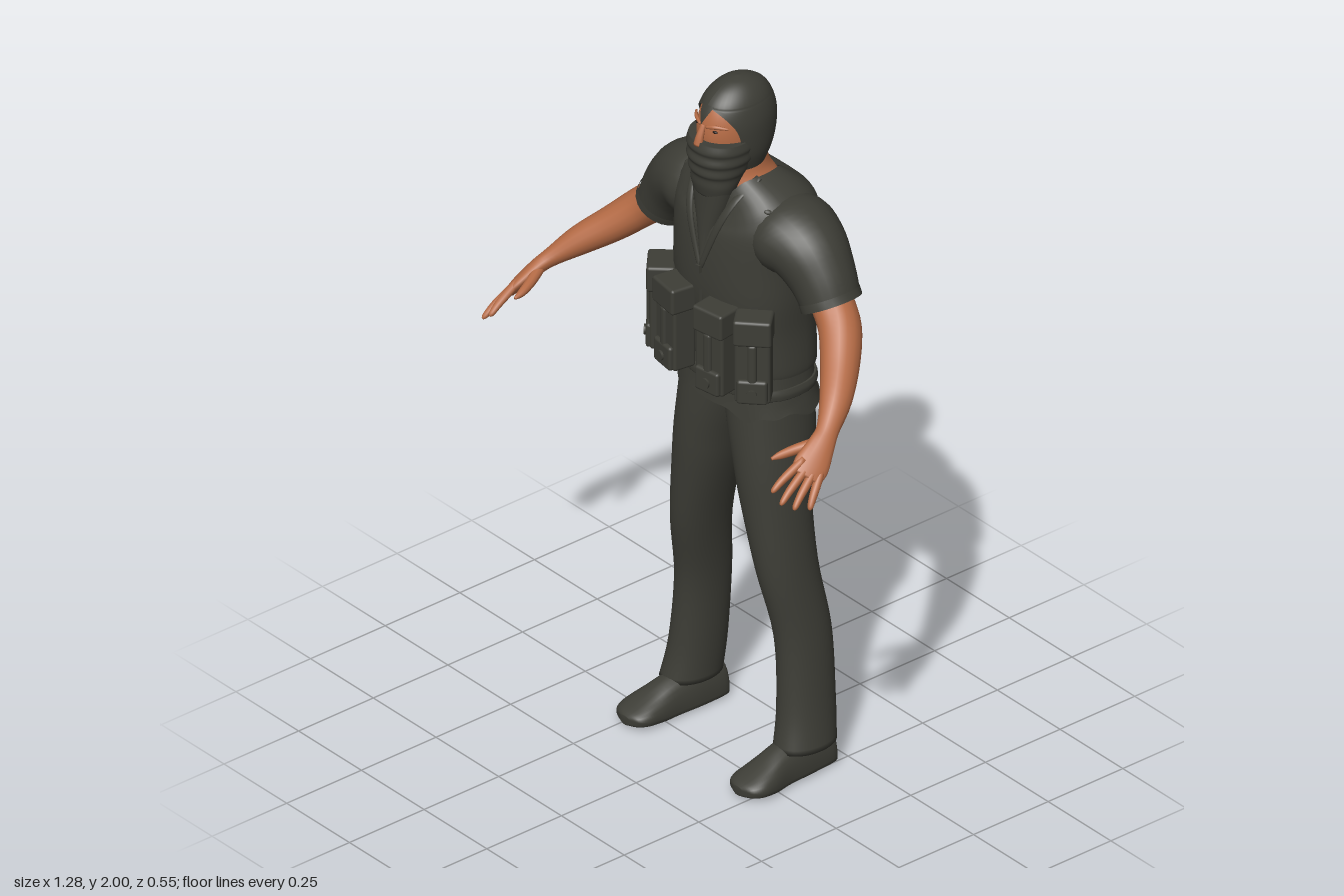
import * as THREE from 'three';
import { mergeVertices } from 'three/addons/utils/BufferGeometryUtils.js';
import { RoundedBoxGeometry } from 'three/addons/geometries/RoundedBoxGeometry.js';

const V = (x, y, z) => new THREE.Vector3(x, y, z);
const TAU = Math.PI * 2;
const pow = (c, e) => Math.sign(c) * Math.abs(c) ** e;

// Catmull-Rom interpolation of equally long rows of numbers, k steps per span
function smooth(rows, k = 5) {
  const out = [], n = rows.length;
  const at = i => rows[Math.min(n - 1, Math.max(0, i))];
  for (let i = 0; i < n - 1; i++) {
    for (let j = 0; j < k; j++) {
      const t = j / k, t2 = t * t, t3 = t2 * t;
      out.push(rows[i].map((b, c) => {
        const a = at(i - 1)[c], d = at(i + 1)[c], e = at(i + 2)[c];
        return 0.5 * (2 * b + (d - a) * t + (2 * a - 5 * b + 4 * d - e) * t2 + (3 * b - a - 3 * d + e) * t3);
      }));
    }
  }
  out.push(rows[n - 1].slice());
  return out;
}

// Skin over a grid of points; closed wraps each ring, caps fill the ends
function skinOver(rings, closed = true, caps = true) {
  const n = rings[0].length, pts = rings.flat(), idx = [];
  const span = closed ? n : n - 1;
  for (let i = 0; i < rings.length - 1; i++) {
    for (let j = 0; j < span; j++) {
      const a = i * n + j, b = i * n + (j + 1) % n;
      idx.push(a, b, a + n, b, b + n, a + n);
    }
  }
  if (closed && caps) {
    const last = (rings.length - 1) * n;
    [[0, true], [last, false]].forEach(([start, flip]) => {
      const c = pts.length;
      pts.push(pts.slice(start, start + n).reduce((s, p) => s.add(p), V(0, 0, 0)).divideScalar(n));
      for (let j = 0; j < n; j++) {
        const a = start + j, b = start + (j + 1) % n;
        idx.push(...(flip ? [b, a, c] : [a, b, c]));
      }
    });
  }
  // turn the faces outward if the enclosed volume is negative
  const mid = pts.reduce((s, p) => s.add(p), V(0, 0, 0)).divideScalar(pts.length);
  let vol = 0;
  for (let i = 0; i < idx.length; i += 3) {
    const [a, b, c] = [0, 1, 2].map(k => pts[idx[i + k]].clone().sub(mid));
    vol += a.dot(b.cross(c));
  }
  if (vol < 0) idx.reverse();
  const g = new THREE.BufferGeometry().setFromPoints(pts);
  g.setIndex(idx);
  g.computeVertexNormals();
  return g;
}

// Upright body from rows [y, xMin, xMax, zFront, zBack, frontDip, backDip]
function body(rows, e = 0.85, wave = () => 0, caps = true, n = 40) {
  return skinOver(smooth(rows).map(([y, x0, x1, zf, zb, df = 0, db = 0], i) =>
    Array.from({ length: n }, (_, j) => {
      const t = j / n * TAU, c = Math.cos(t), s = Math.sin(t);
      const dip = (s > 0 ? df : db) * s ** 4;
      return V((x0 + x1) / 2 + (x1 - x0) / 2 * pow(c, e), y - dip + wave(t, i),
        (zf + zb) / 2 + (zf - zb) / 2 * pow(s, e));
    })), true, caps);
}

// Limb from rows [x, y, z, radius along wide, radius across]
function limb(rows, wide, k = 5, n = 16, caps = true) {
  const r = smooth(rows, k);
  const p = r.map(q => V(q[0], q[1], q[2]));
  return skinOver(r.map((q, i) => {
    const T = p[Math.min(i + 1, p.length - 1)].clone().sub(p[Math.max(i - 1, 0)]).normalize();
    const u = wide.clone().addScaledVector(T, -wide.dot(T)).normalize();
    const v = T.clone().cross(u);
    return Array.from({ length: n }, (_, j) => {
      const t = j / n * TAU;
      return p[i].clone().addScaledVector(u, q[3] * Math.cos(t)).addScaledVector(v, q[4] * Math.sin(t));
    });
  }), true, caps);
}

// Piece of a head-like surface, rows [y, rx, zFront, zBack], between two angles from the front
function patch(rows, from, to, grow = 0, k = 10, n = 40) {
  return skinOver(smooth(rows, k).map(([y, rx, zf, zb]) =>
    Array.from({ length: n + 1 }, (_, j) => {
      const t = from(y) + (to(y) - from(y)) * j / n;
      return V((rx + grow) * Math.sin(t), y, (zf + zb) / 2 + ((zf - zb) / 2 + grow) * Math.cos(t));
    })), false);
}

function mirrored(g) {
  const m = g.clone().scale(-1, 1, 1);
  m.index.array.reverse();
  return m;
}

export function createModel() {
  const model = new THREE.Group();
  const material = (name, color) => {
    const m = new THREE.MeshStandardMaterial({ color, side: THREE.DoubleSide });
    m.name = name;
    return m;
  };
  const cloth = material('dark cloth', 0x3d3d36);
  const skin = material('skin', 0xb56b45);
  const eyeDark = material('dark eye', 0x2a1c16);
  const add = (name, g, m = cloth) => {
    const mesh = new THREE.Mesh(g, m);
    mesh.name = name;
    model.add(mesh);
  };
  const pair = (name, g, m = cloth) => {
    add(name + 'Left', g, m);
    add(name + 'Right', mirrored(g), m);
  };
  const ball = (r, sx, sy, sz, x, y, z) => new THREE.SphereGeometry(r, 16, 12).scale(sx, sy, sz).translate(x, y, z);

  // Head, hood with face opening, and widow's peak
  const head = [[1.755, 0.07, -0.01, -0.165], [1.8, 0.083, 0.02, -0.187], [1.85, 0.087, 0.034, -0.2], [1.9, 0.085, 0.03, -0.2],
    [1.945, 0.073, 0.012, -0.186], [1.975, 0.054, -0.018, -0.163], [1.993, 0.03, -0.053, -0.128], [2, 0.001, -0.09, -0.092]];
  const skull = head.map(([y, ...r]) => [1.755 + (y - 1.755) * 0.975, ...r]);
  const opening = y => 1.15 * Math.sqrt(Math.max(0, 1 - (Math.max(0, y - 1.845) / 0.1) ** 2));
  add('head', patch(skull, () => 0, () => TAU, -0.006), skin);
  add('hood', patch(head, opening, y => TAU - opening(y)));
  const peakRows = [[1.9, 0.085, 0.031, -0.2], [1.925, 0.08, 0.024, -0.195], [1.95, 0.071, 0.01, -0.184]];
  add('hoodPeak', patch(peakRows, y => -(y - 1.899) * 6, y => (y - 1.899) * 6, 0.001, 4, 8));

  // Face
  pair('eye', ball(0.01, 1, 0.45, 0.5, 0.033, 1.884, 0.014), eyeDark);
  pair('brow', limb([[0.012, 1.893, 0.025, 0.005, 0.004], [0.038, 1.9, 0.016, 0.006, 0.005],
    [0.064, 1.897, -0.006, 0.003, 0.003]], V(0, 1, 0), 4, 8), skin);
  add('nose', limb([[0, 1.895, 0.024, 0.008, 0.006], [0, 1.865, 0.036, 0.011, 0.01],
    [0, 1.84, 0.042, 0.014, 0.012]], V(1, 0, 0), 4, 10), skin);

  // Folded face mask and the scarf tail tucked into the collar
  add('mask', body([[1.852, -0.084, 0.084, 0.046, -0.11], [1.83, -0.089, 0.089, 0.053, -0.12], [1.815, -0.086, 0.086, 0.049, -0.12],
    [1.795, -0.087, 0.087, 0.054, -0.12], [1.78, -0.081, 0.081, 0.048, -0.11], [1.76, -0.079, 0.079, 0.05, -0.1],
    [1.745, -0.073, 0.073, 0.043, -0.09], [1.72, -0.069, 0.069, 0.042, -0.07], [1.69, -0.06, 0.06, 0.035, -0.06]], 0.95));
  add('scarfTail', body([[1.73, -0.068, 0.068, 0.036, -0.06], [1.66, -0.055, 0.055, 0.034, -0.05],
    [1.58, -0.032, 0.032, 0.034, -0.03], [1.48, -0.006, 0.006, 0.036, 0]], 0.9));

  // Neck flaring into the shoulders
  add('neck', body([[1.8, -0.062, 0.062, -0.03, -0.165], [1.74, -0.068, 0.068, -0.03, -0.178],
    [1.7, -0.09, 0.09, -0.03, -0.2], [1.65, -0.125, 0.125, -0.04, -0.225]], 1), skin);

  // Vest with a collar that dips front and back
  add('vest', body([[1.175, -0.2, 0.2, 0.005, -0.263, 0, 0], [1.2, -0.202, 0.202, 0.01, -0.265, 0, 0],
    [1.3, -0.2, 0.2, 0.022, -0.265, 0, 0], [1.4, -0.206, 0.206, 0.034, -0.268, 0, 0],
    [1.5, -0.207, 0.207, 0.034, -0.274, 0, 0], [1.6, -0.212, 0.212, 0.026, -0.276, 0.02, 0],
    [1.66, -0.195, 0.195, 0.014, -0.265, 0.05, 0.01], [1.7, -0.155, 0.155, 0.006, -0.24, 0.07, 0.025],
    [1.738, -0.092, 0.092, 0.005, -0.2, 0.1, 0.045]], 0.85, () => 0, false));
  pair('lapel', limb([[0.092, 1.735, -0.085, 0.012, 0.005], [0.082, 1.69, -0.015, 0.012, 0.005], [0.055, 1.61, 0.024, 0.012, 0.005],
    [0.003, 1.475, 0.036, 0.008, 0.005]], V(1, 0, 0), 5, 10));
  add('zip', new THREE.BoxGeometry(0.01, 0.26, 0.008).translate(0, 1.34, 0.03));
  add('zipPull', new THREE.BoxGeometry(0.014, 0.022, 0.01).translate(0, 1.468, 0.04));
  pair('shoulderTab', ball(0.02, 1, 0.5, 0.7, 0.15, 1.673, -0.06));

  // Shirt below the vest, with a wavy hem
  const hemWave = (t, i) => (0.009 * Math.sin(5 * t) + 0.006 * Math.sin(11 * t)) * Math.max(0, 1 - i / 4);
  add('shirtHem', body([[1.06, -0.21, 0.21, 0.012, -0.267], [1.1, -0.203, 0.203, 0.008, -0.255], [1.15, -0.198, 0.198, 0.004, -0.25],
    [1.21, -0.195, 0.195, 0, -0.25]], 0.8, hemWave, false, 64));
  add('waistband', body([[1.115, -0.204, 0.204, 0.01, -0.258], [1.13, -0.206, 0.206, 0.011, -0.26],
    [1.145, -0.202, 0.202, 0.008, -0.256]], 0.8));

  // Short sleeves with a cuff
  const Z = V(0, 0, 1);
  pair('sleeve', limb([[0.09, 1.595, -0.13, 0.1, 0.085], [0.17, 1.59, -0.13, 0.122, 0.105], [0.235, 1.57, -0.13, 0.108, 0.1],
    [0.29, 1.515, -0.13, 0.09, 0.088], [0.328, 1.455, -0.128, 0.08, 0.077]], Z, 5, 24, false));
  pair('cuff', limb([[0.319, 1.472, -0.128, 0.084, 0.08], [0.33, 1.452, -0.128, 0.084, 0.08]], Z, 2, 24, false));

  // Bare arms and hands
  const W = V(0.6, -0.45, -0.6);
  pair('arm', limb([[0.33, 1.465, -0.125, 0.058, 0.055], [0.39, 1.415, -0.105, 0.057, 0.053], [0.45, 1.355, -0.055, 0.052, 0.048],
    [0.51, 1.3, 0.01, 0.043, 0.039], [0.55, 1.255, 0.07, 0.031, 0.025], [0.567, 1.23, 0.105, 0.036, 0.021],
    [0.582, 1.195, 0.15, 0.047, 0.018], [0.59, 1.172, 0.18, 0.042, 0.013]], W), skin);
  pair('thumb', limb([[0.556, 1.235, 0.105, 0.014, 0.016], [0.532, 1.222, 0.155, 0.014, 0.014],
    [0.517, 1.213, 0.198, 0.011, 0.011], [0.511, 1.209, 0.226, 0.004, 0.004]], W, 4, 10), skin);
  const fingers = [[0.567, 1.193, 0.195, 0.562, 1.148, 0.268], [0.584, 1.178, 0.187, 0.594, 1.124, 0.265],
    [0.6, 1.165, 0.175, 0.617, 1.11, 0.24], [0.611, 1.158, 0.155, 0.634, 1.103, 0.202]];
  fingers.forEach(([x, y, z, X, Y, Q], i) => {
    const along = (f, r, lift) => [x + (X - x) * f, y + (Y - y) * f + lift, z + (Q - z) * f, r, r];
    pair('finger' + (i + 1), limb([along(-0.4, 0.012, 0), along(0.2, 0.012, 0.003), along(0.6, 0.0105, 0.004),
      along(0.9, 0.008, 0.001), along(1, 0.003, 0)], W, 3, 10), skin);
  });

  // Trousers
  pair('trouserLeg', body([[1.12, -0.03, 0.19, -0.005, -0.235], [1.0, -0.002, 0.2, 0, -0.24], [0.9, 0.027, 0.208, 0, -0.222],
    [0.8, 0.052, 0.215, -0.005, -0.203], [0.6, 0.105, 0.234, -0.022, -0.2], [0.4, 0.14, 0.256, -0.058, -0.224],
    [0.2, 0.153, 0.276, -0.055, -0.223], [0.085, 0.16, 0.293, -0.035, -0.215]], 0.95));

  // Shoes, from rows of z, centre x, half width, top
  const shoe = smooth([[-0.214, 0.215, 0.02, 0.06], [-0.203, 0.215, 0.045, 0.1], [-0.12, 0.217, 0.052, 0.115], [-0.04, 0.221, 0.053, 0.1],
    [0.02, 0.226, 0.06, 0.075], [0.06, 0.227, 0.06, 0.058], [0.088, 0.226, 0.045, 0.045], [0.1, 0.225, 0.015, 0.035]]);
  pair('shoe', skinOver(shoe.map(([z, cx, w, top]) => Array.from({ length: 24 }, (_, j) => {
    const t = j / 24 * TAU, s = Math.sin(t), base = Math.max(0, z) * 0.1;
    const y = s > 0 ? 0.02 + base + (top - 0.02 - base) * s : base + 0.02 * (1 + pow(s, 0.5));
    return V(cx + w * pow(Math.cos(t), 0.8), y, z);
  }))));

  // Magazine pouches around the front of the vest
  [[0.083, 0.052, 0.15], [0.183, 0.01, 0.75]].forEach(([px, pz, turn], i) => {
    const place = (name, g) => pair(name + (i + 1), g.rotateY(turn).translate(px, 1.275, pz));
    const box = (w, h, d, x, y, z) => mergeVertices(new RoundedBoxGeometry(w, h, d, 2, 0.008).translate(x, y, z));
    place('pouch', box(0.094, 0.24, 0.066, 0, -0.003, -0.004));
    place('pouchFlap', box(0.1, 0.075, 0.076, 0, 0.087, 0));
    place('pouchPocket', box(0.08, 0.07, 0.024, 0, -0.087, 0.028));
    place('pouchStrap', box(0.024, 0.13, 0.018, 0, -0.01, 0.03));
    place('pouchStud', new THREE.CylinderGeometry(0.014, 0.014, 0.008, 16).rotateX(Math.PI / 2).translate(0, -0.09, 0.042));
  });
  return model;
}
